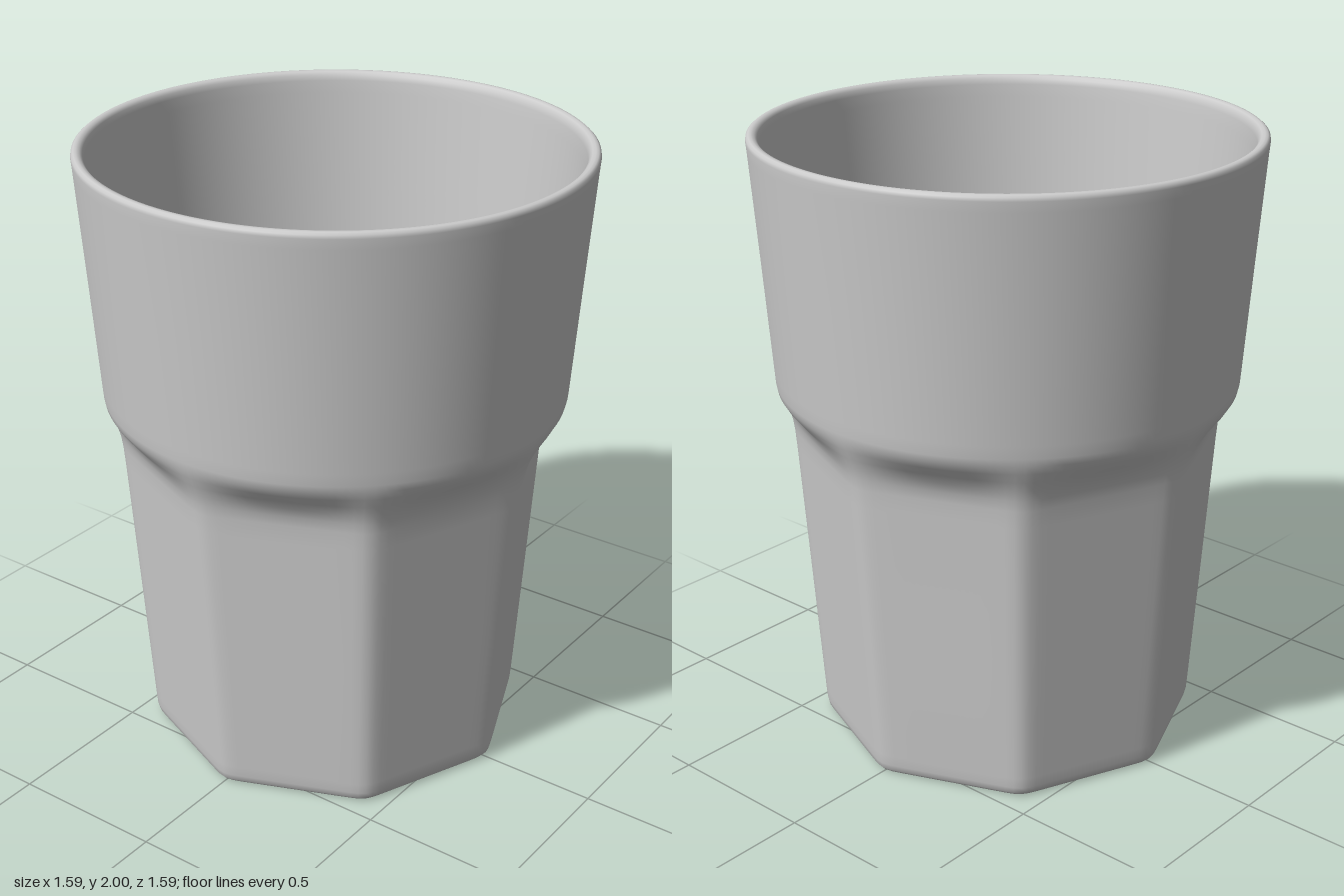
import * as THREE from 'three';
import { mergeVertices } from 'three/addons/utils/BufferGeometryUtils.js';

const SIDES = 8, SEGMENTS = 160, SHARPNESS = 60;

// Radius of a softly rounded octagon (corner radius 1, corners on the axes)
function octagonRadius(angle) {
  let sum = 0;
  for (let i = 0; i < SIDES; i++) {
    const c = Math.cos(angle - (i + 0.5) * 2 * Math.PI / SIDES);
    if (c > 0) sum += c ** SHARPNESS;
  }
  const apothem = Math.cos(Math.PI / SIDES) * 2 ** (1 / SHARPNESS);
  return apothem / sum ** (1 / SHARPNESS);
}

// Each ring: corner radius, height, octagon share (1 = octagon, 0 = circle)
const rings = [
  // underside with a shallow recess
  [0, 0.025, 1], [0.42, 0.025, 1], [0.45, 0.022, 1], [0.53, 0.004, 1], [0.555, 0, 1], [0.585, 0, 1],
  // outer faceted wall
  [0.602, 0.004, 1], [0.612, 0.015, 1], [0.617, 0.035, 1], [0.62, 0.07, 1],
  [0.65, 0.5, 1], [0.682, 0.96, 1], [0.687, 1.02, 1],
  // outer shoulder
  [0.692, 1.055, 0.95], [0.701, 1.09, 0.8], [0.714, 1.125, 0.52], [0.727, 1.157, 0.22],
  [0.736, 1.185, 0.04], [0.74, 1.21, 0], [0.743, 1.25, 0],
  // outer round wall and rim
  [0.768, 1.6, 0], [0.794, 1.95, 0], [0.797, 1.982, 0], [0.795, 1.993, 0], [0.788, 1.999, 0],
  [0.779, 2, 0], [0.769, 1.997, 0], [0.761, 1.988, 0], [0.757, 1.97, 0], [0.754, 1.93, 0],
  // inner round wall
  [0.727, 1.6, 0], [0.701, 1.26, 0], [0.697, 1.21, 0],
  // inner shoulder
  [0.692, 1.185, 0.04], [0.682, 1.157, 0.22], [0.669, 1.125, 0.52], [0.657, 1.09, 0.8],
  [0.648, 1.055, 0.95], [0.643, 1.02, 1], [0.639, 0.96, 1],
  // inner faceted wall and floor
  [0.607, 0.5, 1], [0.578, 0.12, 1], [0.573, 0.085, 1], [0.565, 0.07, 1], [0.55, 0.062, 1],
  [0.52, 0.06, 1], [0, 0.06, 1],
];

export function createModel() {
  const profile = rings.map(([r, y]) => new THREE.Vector2(r, y));
  let geometry = new THREE.LatheGeometry(profile, SEGMENTS);

  // Press the round lathe into the octagon where the ring asks for it
  const pos = geometry.attributes.position;
  for (let i = 0; i < pos.count; i++) {
    const share = rings[i % rings.length][2];
    const x = pos.getX(i), z = pos.getZ(i);
    const scale = THREE.MathUtils.lerp(1, octagonRadius(Math.atan2(z, x)), share);
    pos.setX(i, x * scale);
    pos.setZ(i, z * scale);
  }

  // Weld the seam so the normals run smoothly all round
  geometry.deleteAttribute('uv');
  geometry.deleteAttribute('normal');
  geometry = mergeVertices(geometry, 1e-5);
  geometry.computeVertexNormals();

  const cup = new THREE.Mesh(geometry, new THREE.MeshStandardMaterial({ color: 0xcccccc }));
  cup.name = 'cup';
  const group = new THREE.Group();
  group.name = 'tumbler';
  group.add(cup);
  return group;
}
